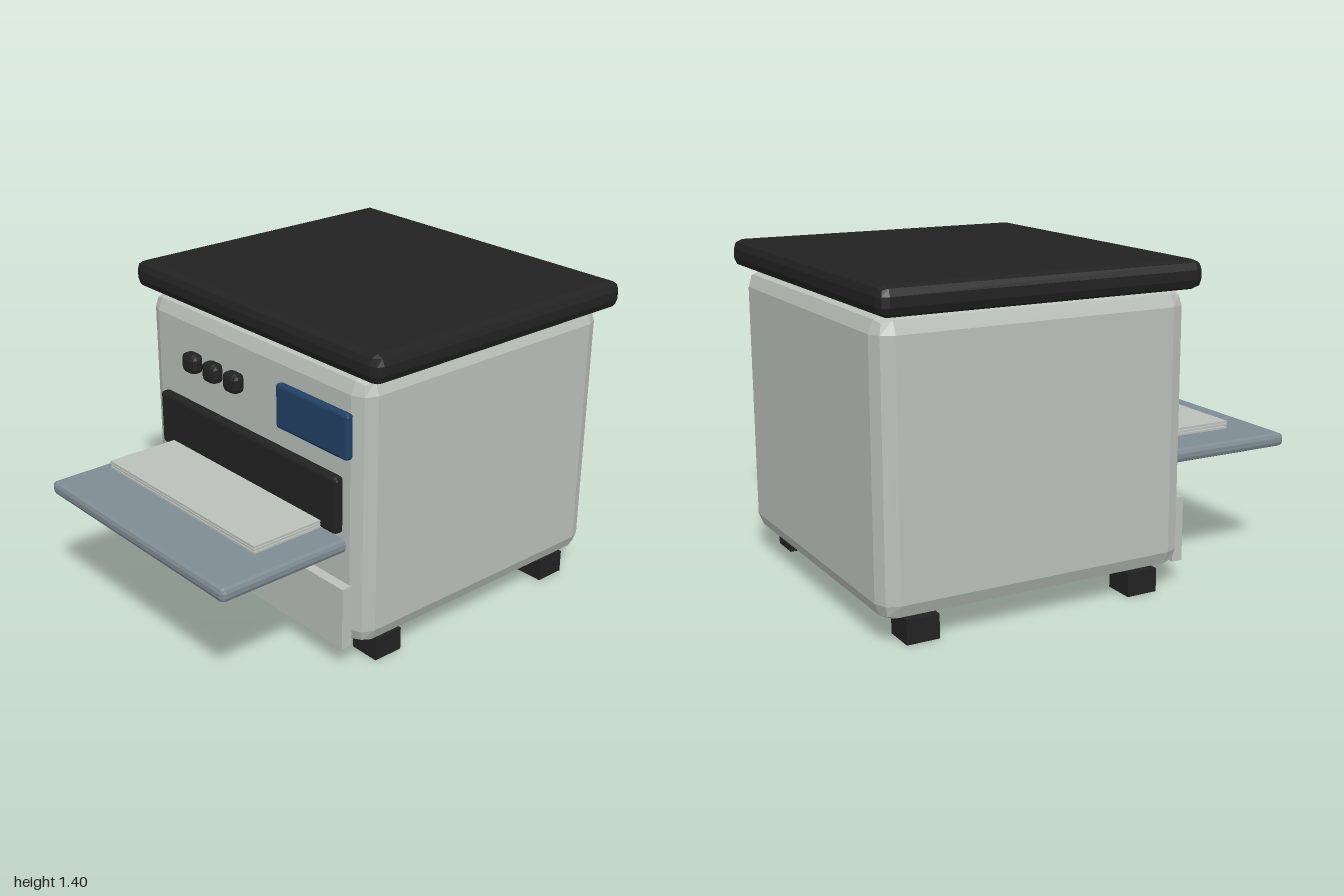
import * as THREE from 'three';
import { RoundedBoxGeometry } from 'three/addons/geometries/RoundedBoxGeometry.js';

function material(name, color) {
  const m = new THREE.MeshStandardMaterial({ color });
  m.name = name;
  m.flatShading = true;
  return m;
}

export function createModel() {
  const root = new THREE.Group();
  root.name = 'printer';

  const casing = material('light grey casing', 0xbbc0bb);
  const black = material('black plastic', 0x222222);
  const steel = material('blue grey tray', 0x7f8c94);
  const blue = material('blue display', 0x214165);

  // Box between two bounds per axis; bevel > 0 gives two-step rounded edges
  function block(name, mat, [x0, x1], [y0, y1], [z0, z1], bevel = 0, parent = root) {
    const size = [x1 - x0, y1 - y0, z1 - z0];
    const geometry = bevel
      ? new RoundedBoxGeometry(...size, 1, bevel)
      : new THREE.BoxGeometry(...size);
    const mesh = new THREE.Mesh(geometry, mat);
    mesh.name = name;
    mesh.position.set((x0 + x1) / 2, (y0 + y1) / 2, (z0 + z1) / 2);
    parent.add(mesh);
    return mesh;
  }

  // Main casing and overhanging lid
  block('body', casing, [-0.71, 0.71], [0.1, 1.28], [-0.98, 0.39], 0.075);
  block('lid', black, [-0.79, 0.79], [1.28, 1.4], [-1, 0.405], 0.04);

  // Four square feet
  for (const x of [-0.61, 0.61]) {
    for (const z of [-0.8, 0.21]) {
      block('foot', black, [x - 0.07, x + 0.07], [0, 0.102], [z - 0.07, z + 0.07]);
    }
  }

  // Paper drawer with its pull
  block('drawer', casing, [-0.645, 0.645], [0.1, 0.38], [0.385, 0.435]);
  block('drawerHandle', black, [-0.215, 0.215], [0.257, 0.293], [0.43, 0.495]);

  // Output slot and tray
  block('outputSlot', black, [-0.592, 0.592], [0.6, 0.848], [0.38, 0.43], 0.015);
  block('outputTray', steel, [-0.61, 0.61], [0.515, 0.575], [0.3, 1], 0.02);

  // Stack of sheets coming out of the slot
  const paper = new THREE.Group();
  paper.name = 'paperStack';
  root.add(paper);
  for (let i = 0; i < 3; i++) {
    const y = 0.602 + i * 0.0125;
    block('sheet', casing, [-0.503, 0.503], [y, y + 0.009], [0.38, 0.765], 0, paper);
  }

  // Control panel: display and three buttons
  block('display', blue, [0.234, 0.664], [0.95, 1.143], [0.4, 0.437], 0.012);
  for (let i = 0; i < 3; i++) {
    const x = -0.361 + i * 0.144;
    block('button', black, [x - 0.045, x + 0.045], [1.0, 1.09], [0.38, 0.445], 0.024);
  }

  return root;
}
